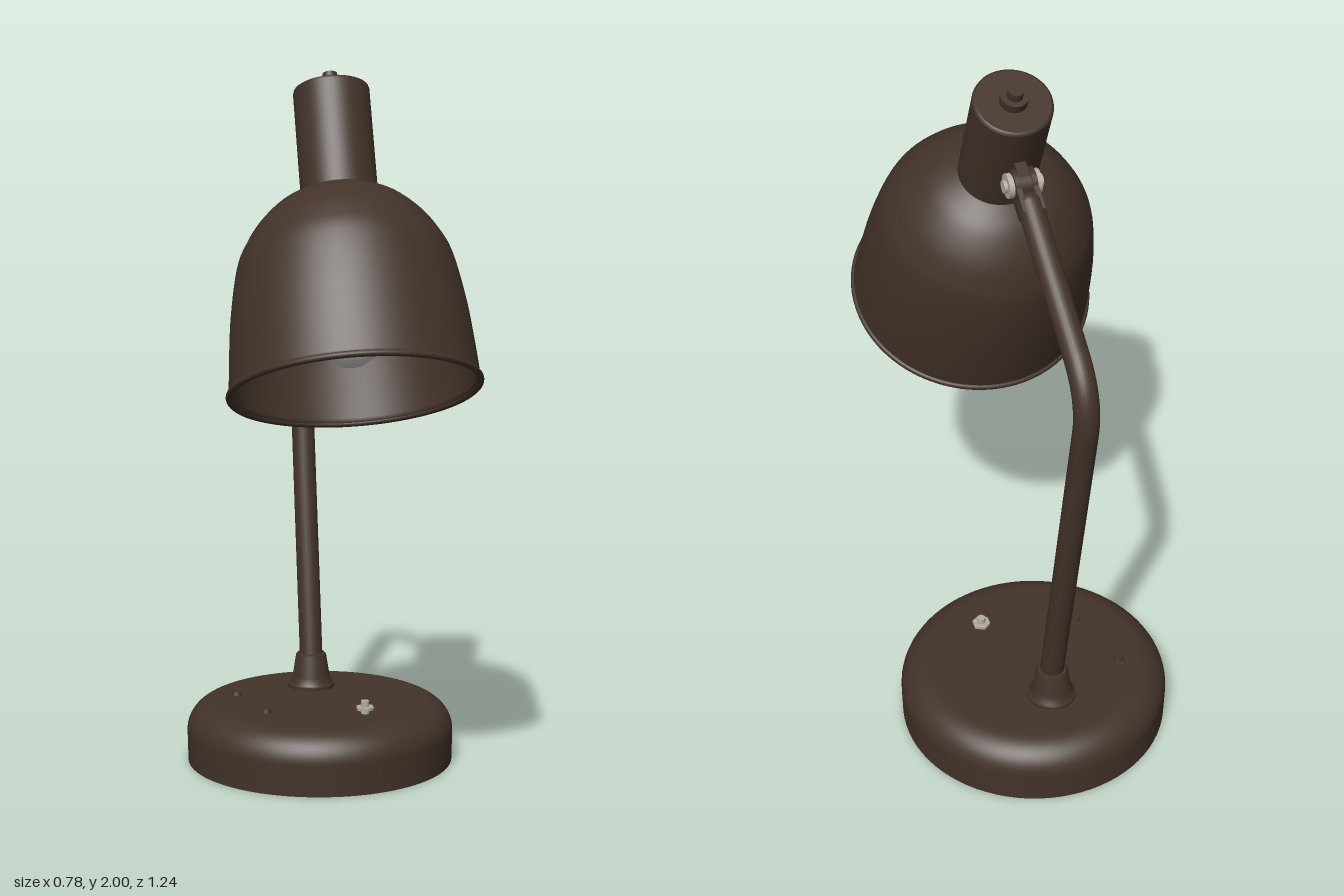
import * as THREE from 'three';

const V2 = (x, y) => new THREE.Vector2(x, y);

export function createModel() {
  const brown = new THREE.MeshStandardMaterial({ name: 'dark bronze paint', color: 0x43332a });
  const metal = new THREE.MeshStandardMaterial({ name: 'pale metal', color: 0xb5aea2 });
  const glass = new THREE.MeshStandardMaterial({ name: 'bulb glass', color: 0xd6d3d0 });
  const lamp = new THREE.Group();
  lamp.name = 'deskLamp';

  const add = (parent, name, geo, mat, x = 0, y = 0, z = 0) => {
    const m = new THREE.Mesh(geo, mat);
    m.name = name;
    m.position.set(x, y, z);
    parent.add(m);
    return m;
  };
  // Lathe from [radius, height] pairs; a repeated pair makes a sharp edge
  const lathe = (pts, seg = 64) => new THREE.LatheGeometry(pts.map(p => V2(p[0], p[1])), seg);
  const cyl = (r1, r2, h, seg = 32) => new THREE.CylinderGeometry(r1, r2, h, seg);

  // Weighted base with rounded shoulder
  const baseProfile = [[0, 0], [0.388, 0], [0.388, 0]];
  for (let i = 0; i <= 12; i++) {
    const a = (i / 12) * Math.PI / 2;
    baseProfile.push([0.3 + 0.09 * Math.cos(a), 0.09 + 0.085 * Math.sin(a)]);
  }
  baseProfile.push([0, 0.175]);
  add(lamp, 'base', lathe(baseProfile, 80), brown, 0, 0, -0.225);

  // Small studs and toggle switch on top of the base
  for (const [x, z] of [[-0.235, -0.31], [-0.177, -0.11]]) {
    add(lamp, 'baseStud', cyl(0.012, 0.016, 0.014, 16), brown, x, 0.179, z);
  }
  const toggle = new THREE.Group();
  toggle.name = 'switch';
  toggle.position.set(0.1, 0.175, -0.047);
  lamp.add(toggle);
  add(toggle, 'switchStem', cyl(0.012, 0.012, 0.04, 16), metal, 0, 0.018, 0);
  add(toggle, 'switchNut', cyl(0.027, 0.027, 0.009, 6), metal, 0, 0.016, 0);

  // Conical collar holding the arm
  add(lamp, 'collar', lathe([
    [0, 0], [0.07, 0], [0.07, 0], [0.07, 0.01], [0.07, 0.01], [0.062, 0.012], [0.055, 0.035],
    [0.045, 0.098], [0.04, 0.104], [0, 0.104],
  ], 40), brown, 0, 0.174, -0.375);

  // Bent tubular arm
  const at = (z, y) => new THREE.Vector3(0, y, z);
  const path = new THREE.CurvePath();
  path.add(new THREE.LineCurve3(at(-0.36, 0.2), at(-0.576, 1.28)));
  path.add(new THREE.QuadraticBezierCurve3(at(-0.576, 1.28), at(-0.6, 1.4), at(-0.5, 1.474)));
  path.add(new THREE.LineCurve3(at(-0.5, 1.474), at(-0.165, 1.714)));
  add(lamp, 'arm', new THREE.TubeGeometry(path, 90, 0.034, 24), brown);
  add(lamp, 'armEnd', new THREE.SphereGeometry(0.034, 24, 16), brown, 0, 1.714, -0.165);

  // Fork cheeks and bolts of the tilting joint
  for (const s of [-1, 1]) {
    const cheek = add(lamp, 'forkCheek', new THREE.BoxGeometry(0.014, 0.058, 0.1), brown, s * 0.023, 1.724, -0.145);
    cheek.rotation.x = -0.62;
    const disc = add(lamp, 'forkDisc', cyl(0.04, 0.04, 0.014), brown, s * 0.023, 1.745, -0.111);
    disc.rotation.z = Math.PI / 2;
    const bolt = add(lamp, 'jointBolt', cyl(0.033, 0.033, 0.014, 12), metal, s * 0.037, 1.745, -0.111);
    bolt.rotation.z = Math.PI / 2;
    const tip = add(lamp, 'boltTip', cyl(0.017, 0.017, 0.012, 16), metal, s * 0.047, 1.745, -0.111);
    tip.rotation.z = Math.PI / 2;
  }

  // Tilted head: local y runs from the rim centre up the shade axis
  const head = new THREE.Group();
  head.name = 'head';
  head.position.set(0, 1.16, 0.307);
  head.rotation.x = -THREE.MathUtils.degToRad(24);
  lamp.add(head);

  // Bell shade with an inner wall
  const bell = new THREE.SplineCurve([
    V2(0.334, 0), V2(0.327, 0.1), V2(0.315, 0.22), V2(0.291, 0.35), V2(0.262, 0.415),
    V2(0.226, 0.468), V2(0.172, 0.52), V2(0.117, 0.55), V2(0.09, 0.56),
  ]).getPoints(40);
  const inner = bell.map(p => V2(p.x - 0.01, p.y - 0.008 * p.y / 0.56)).reverse();
  add(head, 'shade', new THREE.LatheGeometry([V2(0, 0.552), ...inner, ...bell], 80), brown);
  const rim = add(head, 'shadeRim', new THREE.TorusGeometry(0.333, 0.009, 12, 80), brown);
  rim.rotation.x = Math.PI / 2;

  // Socket housing, closing knob and joint lug
  add(head, 'socketHousing', lathe([
    [0.105, 0.535], [0.105, 0.85], [0.103, 0.857], [0.097, 0.86], [0.097, 0.86], [0, 0.86],
  ], 48), brown);
  add(head, 'topNut', cyl(0.037, 0.037, 0.026, 24), brown, 0, 0.872, 0);
  add(head, 'topPin', cyl(0.02, 0.022, 0.025, 24), brown, 0, 0.895, 0);
  add(head, 'jointLug', new THREE.BoxGeometry(0.03, 0.075, 0.06), brown, 0, 0.705, -0.118);
  const lugEnd = add(head, 'jointLugEnd', cyl(0.0375, 0.0375, 0.03), brown, 0, 0.705, -0.146);
  lugEnd.rotation.z = Math.PI / 2;

  // Bulb and its holder inside the shade
  add(head, 'bulbHolder', cyl(0.06, 0.06, 0.23), brown, 0, 0.445, 0);
  add(head, 'bulb', lathe([
    [0, 0.065], [0.033, 0.072], [0.06, 0.09], [0.079, 0.118], [0.085, 0.15], [0.079, 0.185],
    [0.064, 0.225], [0.048, 0.27], [0.042, 0.34],
  ], 40), glass);

  return lamp;
}
